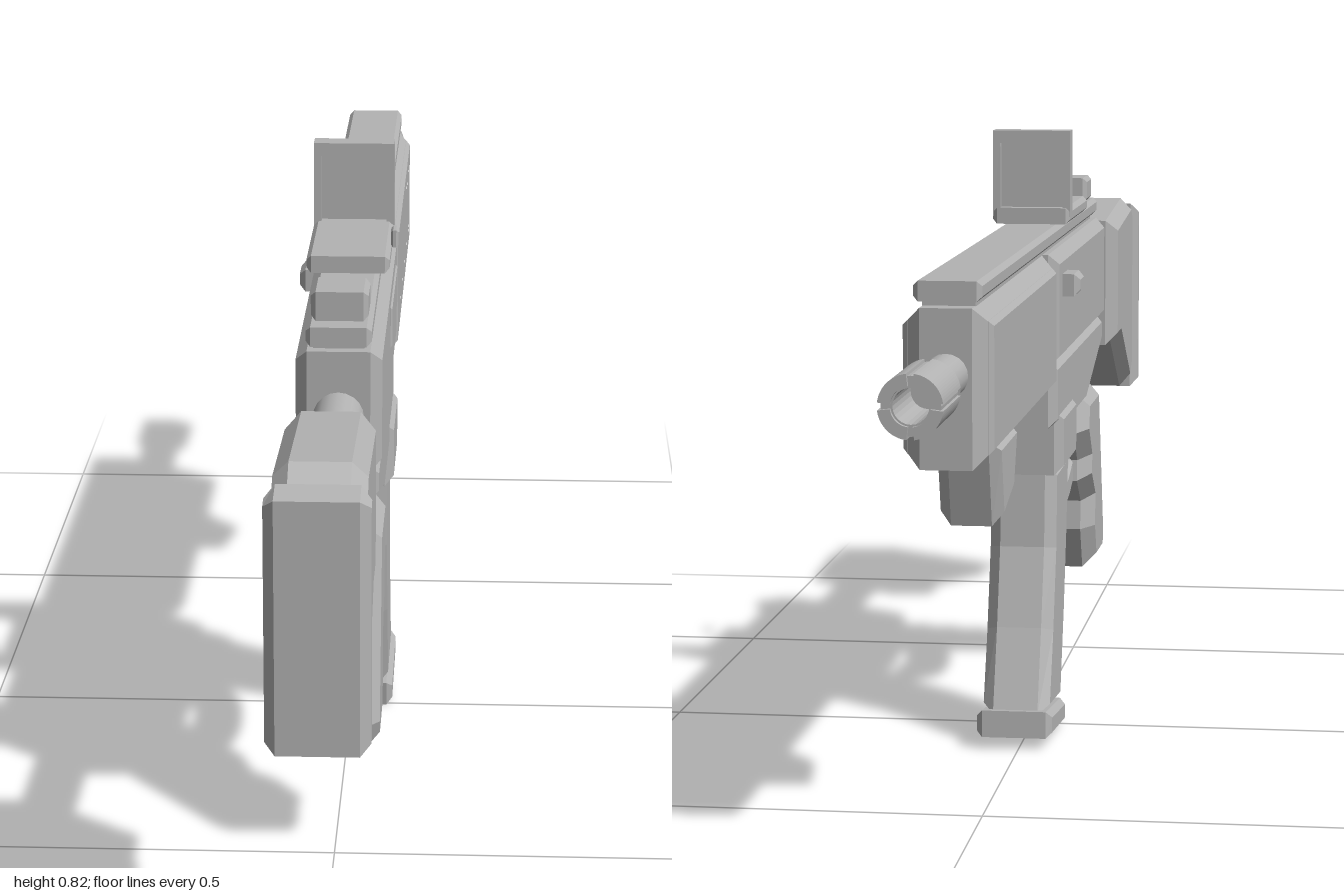
import * as THREE from 'three';

const gray = new THREE.MeshStandardMaterial({ color: 0xb3b3b3 });
gray.name = 'grey metal';

const CENTRE = 0.006; // the body sits slightly off x = 0 because of the side handle

export function createModel() {
  const model = new THREE.Group();
  model.name = 'carbine';

  const add = (name, geo, x = 0, y = 0, z = 0) => {
    const mesh = new THREE.Mesh(geo, gray);
    mesh.name = name;
    mesh.position.set(x + CENTRE, y, z);
    model.add(mesh);
    return mesh;
  };

  // Side profile of [z, y] points, extruded across x with chamfered edges
  const profile = (name, pts, width, bevel = 0.01, x = 0, holes = []) => {
    const toVec = (list) => list.map(([z, y]) => new THREE.Vector2(z, y));
    const shape = new THREE.Shape(toVec(pts));
    holes.forEach((h) => shape.holes.push(new THREE.Path(toVec(h))));
    const geo = new THREE.ExtrudeGeometry(shape, {
      depth: width - 2 * bevel, bevelEnabled: bevel > 0, bevelSegments: 1,
      bevelSize: bevel, bevelThickness: bevel, bevelOffset: -bevel, curveSegments: 8,
    });
    geo.translate(0, 0, -(width - 2 * bevel) / 2);
    geo.rotateY(-Math.PI / 2);
    return add(name, geo, x);
  };
  const rect = (z0, z1, y0, y1) => [[z0, y0], [z1, y0], [z1, y1], [z0, y1]];
  const block = (name, z0, z1, y0, y1, width, bevel = 0.008, x = 0, holes = []) =>
    profile(name, rect(z0, z1, y0, y1), width, bevel, x, holes);

  // Cylinder along z, r0 at the rear (+z) end
  const rod = (name, z0, z1, r0, r1, y, open = false) => {
    const geo = new THREE.CylinderGeometry(r0, r1, z0 - z1, 20, 1, open);
    geo.rotateX(Math.PI / 2);
    return add(name, geo, 0, y, (z0 + z1) / 2);
  };

  // Flat curved strip: follows a [z, y] path with half thickness t(u)
  const strip = (name, path, t, width) => {
    const curve = new THREE.CatmullRomCurve3(path.map(([z, y]) => new THREE.Vector3(z, y, 0)));
    const a = [], b = [];
    for (let i = 0; i <= 12; i++) {
      const p = curve.getPoint(i / 12), d = curve.getTangent(i / 12), h = t(i / 12);
      a.push([p.x - d.y * h, p.y + d.x * h]);
      b.unshift([p.x + d.y * h, p.y - d.x * h]);
    }
    return profile(name, [...a, ...b], width, 0.004);
  };

  // Stock
  profile('buttPad', [[1, 0.345], [0.962, 0.343], [0.962, 0.645], [1, 0.638]], 0.117, 0.012);
  block('buttPadSpacer', 0.965, 0.94, 0.385, 0.63, 0.085, 0.002);
  profile('stock', [[0.953, 0.635], [0.92, 0.657], [0.682, 0.64], [0.682, 0.445],
    [0.755, 0.445], [0.91, 0.35], [0.953, 0.378]], 0.105, 0.018);
  rod('bufferTube', 0.69, 0.49, 0.031, 0.031, 0.578);

  // Receiver
  block('upperReceiver', 0.505, -0.095, 0.508, 0.66, 0.105, 0.014);
  profile('lowerReceiver', [[0.505, 0.515], [0.505, 0.472], [0.285, 0.408], [0.1, 0.408],
    [-0.083, 0.425], [-0.083, 0.515]], 0.098, 0.012);
  block('magazineWell', 0.11, -0.062, 0.358, 0.445, 0.11, 0.012);
  block('ejectionCover', 0.19, -0.03, 0.575, 0.628, 0.006, 0.002, 0.052);
  block('chargingHandle', 0.01, -0.05, 0.6, 0.63, 0.032, 0.008, -0.06);

  // Top rail
  block('railBase', 0.49, -0.72, 0.65, 0.675, 0.062, 0);
  block('topRail', 0.505, -0.735, 0.666, 0.69, 0.08, 0.006);

  // Handguard with two rows of five recessed slots on each side
  block('handguardCore', -0.1, -0.747, 0.473, 0.66, 0.093, 0.016);
  const slots = [];
  for (let i = 0; i < 5; i++) {
    const z = -0.237 - i * 0.1015;
    for (const y of [0.511, 0.602]) slots.push(rect(z, z - 0.053, y, y + 0.016));
  }
  block('handguardSides', -0.116, -0.731, 0.489, 0.644, 0.106, 0.006, 0, slots);
  profile('foregrip', [[-0.4, 0.48], [-0.435, 0.398], [-0.545, 0.373], [-0.575, 0.48]], 0.078, 0.014);

  // Barrel and slotted muzzle
  rod('barrel', -0.73, -0.86, 0.026, 0.026, 0.582);
  rod('muzzleTaper', -0.852, -0.873, 0.026, 0.036, 0.582);
  for (let i = 0; i < 4; i++) {
    const a0 = i * Math.PI / 2 + 0.12, a1 = (i + 1) * Math.PI / 2 - 0.12;
    const shape = new THREE.Shape();
    shape.absarc(0, 0, 0.036, a0, a1, false);
    shape.absarc(0, 0, 0.022, a1, a0, true);
    const geo = new THREE.ExtrudeGeometry(shape, { depth: 0.128, bevelEnabled: false, curveSegments: 8 });
    add('muzzleProng', geo, 0, 0.582, -1);
  }
  const ring = new THREE.Shape();
  ring.absarc(0, 0, 0.033, 0, Math.PI * 2, false);
  const bore = new THREE.Path();
  bore.absarc(0, 0, 0.02, 0, Math.PI * 2, true);
  ring.holes.push(bore);
  add('muzzleSleeve', new THREE.ExtrudeGeometry(ring, { depth: 0.122, bevelEnabled: false }), 0, 0.582, -0.994);

  // Pistol grip, trigger and guard
  profile('pistolGrip', [[0.452, 0.42], [0.3, 0.42], [0.28, 0.363], [0.325, 0.318], [0.32, 0.288],
    [0.37, 0.25], [0.365, 0.208], [0.395, 0.146], [0.508, 0.144], [0.525, 0.18]], 0.102, 0.02);
  strip('triggerGuard', [[0.325, 0.305], [0.27, 0.287], [0.21, 0.282], [0.15, 0.292],
    [0.118, 0.325], [0.108, 0.37]], () => 0.017, 0.05);
  strip('trigger', [[0.19, 0.415], [0.178, 0.38], [0.182, 0.355], [0.197, 0.33]],
    (u) => 0.014 - 0.009 * u, 0.025);

  // Curved magazine
  profile('magazine', [[0.1, 0.37], [0.08, 0.256], [0.05, 0.15], [0.007, 0.03],
    [-0.142, 0.045], [-0.1, 0.155], [-0.067, 0.26], [-0.057, 0.37]], 0.09, 0.015);
  profile('magazineBase', [[0.01, 0.034], [0.005, 0], [-0.157, 0.016], [-0.155, 0.052]], 0.102, 0.008);

  // Reflex sight: base, hollow frame, window and side knob
  block('sightBase', 0.25, 0.03, 0.69, 0.712, 0.106, 0.006);
  const frame = new THREE.Shape([[-0.053, 0.7], [0.053, 0.7], [0.053, 0.817], [-0.053, 0.817]]
    .map((p) => new THREE.Vector2(...p)));
  frame.holes.push(new THREE.Path([[-0.043, 0.712], [-0.043, 0.8], [0.043, 0.8], [0.043, 0.712]]
    .map((p) => new THREE.Vector2(...p))));
  add('sightFrame', new THREE.ExtrudeGeometry(frame, { depth: 0.03, bevelEnabled: false }), 0, 0, 0.035);
  add('sightWindow', new THREE.BoxGeometry(0.088, 0.09, 0.006), 0, 0.756, 0.05);
  block('sightKnob', 0.236, 0.209, 0.721, 0.743, 0.01, 0.003, 0.059);

  // Rear sight
  block('rearSight', 0.475, 0.405, 0.69, 0.726, 0.07, 0.006);

  return model;
}
